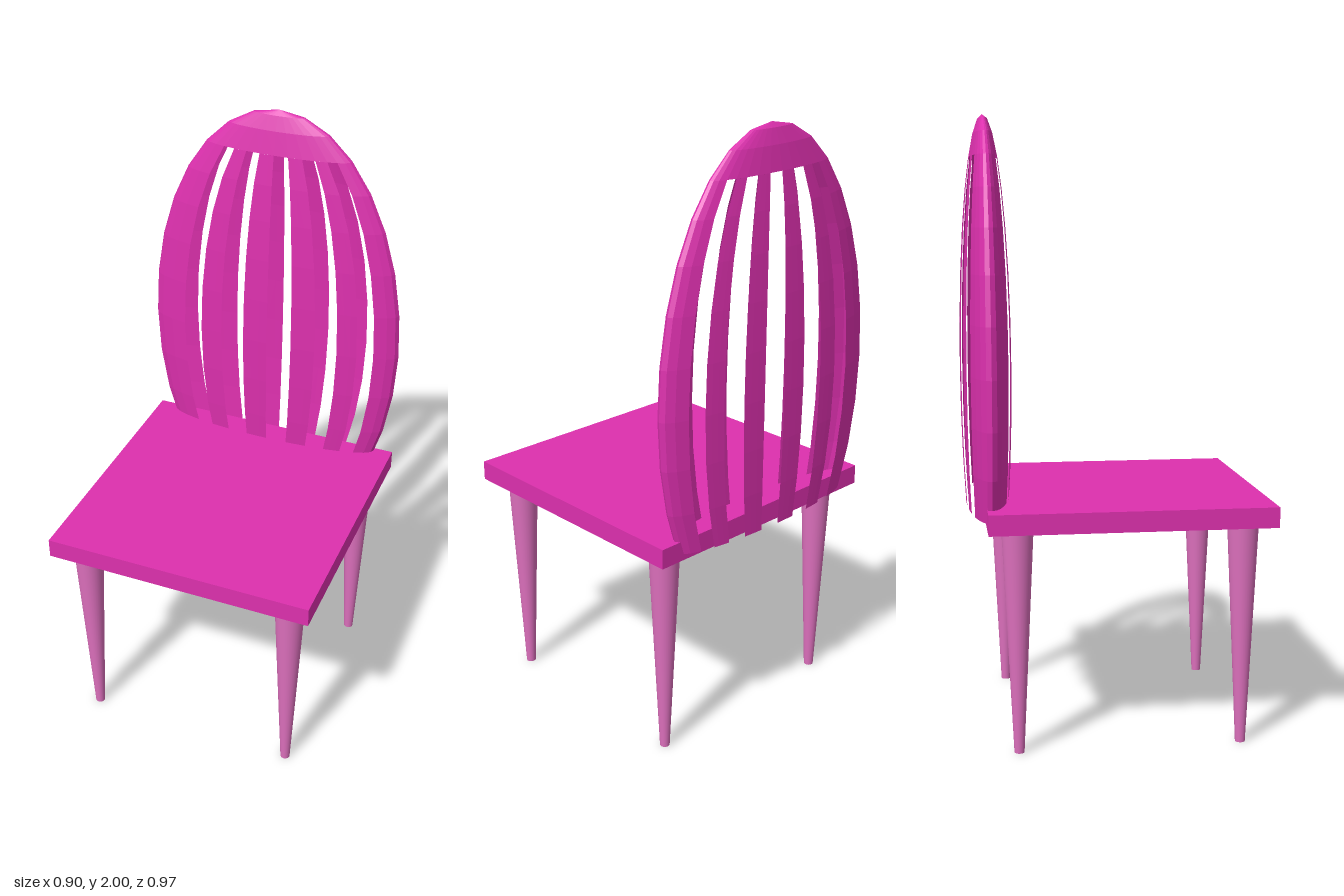
import * as THREE from 'three';

export function createModel() {
  const chair = new THREE.Group();
  chair.name = 'chair';

  const magenta = new THREE.MeshStandardMaterial({ color: 0xdd30ae, side: THREE.DoubleSide, flatShading: true });
  magenta.name = 'magenta';
  const pink = new THREE.MeshStandardMaterial({ color: 0xdd70bd });
  pink.name = 'pink';

  const add = (parent, name, geometry, material, x, y, z) => {
    const mesh = new THREE.Mesh(geometry, material);
    mesh.name = name;
    mesh.position.set(x, y, z);
    parent.add(mesh);
    return mesh;
  };

  // Square seat slab
  add(chair, 'seat', new THREE.BoxGeometry(0.9, 0.065, 0.9), magenta, 0, 0.7525, 0.033);

  // Four tapered legs
  const legGeometry = new THREE.CylinderGeometry(0.05, 0.016, 0.72, 32);
  for (const x of [-0.357, 0.357]) {
    add(chair, 'frontLeg', legGeometry, pink, x, 0.36, 0.388);
    add(chair, 'backLeg', legGeometry, pink, x, 0.36, -0.324);
  }

  // Backrest: flattened, hollow egg-shaped shell, open in slots and at the bottom
  const back = new THREE.Group();
  back.name = 'backrest';
  back.position.set(0, 1.19, -0.4015);
  back.scale.set(0.448, 0.81, 0.082);
  chair.add(back);

  const step = Math.PI / 16; // one of 32 segments around, also one of 16 rows down
  // Patch of the shell; segments count from the front centre towards +x
  const shell = (name, first, count, row, rows) => add(back, name,
    new THREE.SphereGeometry(1, count, rows, Math.PI / 2 + first * step, count * step, row * step, rows * step),
    magenta, 0, 0, 0);

  shell('crown', 0, 32, 0, 3);
  shell('leftSide', 5, 6, 3, 8);
  shell('rightSide', -12, 8, 3, 8);
  for (const i of [-3, -1, 1, 3]) {
    shell('frontSlat', i, 1, 3, 8);
    shell('rearSlat', 15 - i, 1, 3, 8);
  }

  return chair;
}
